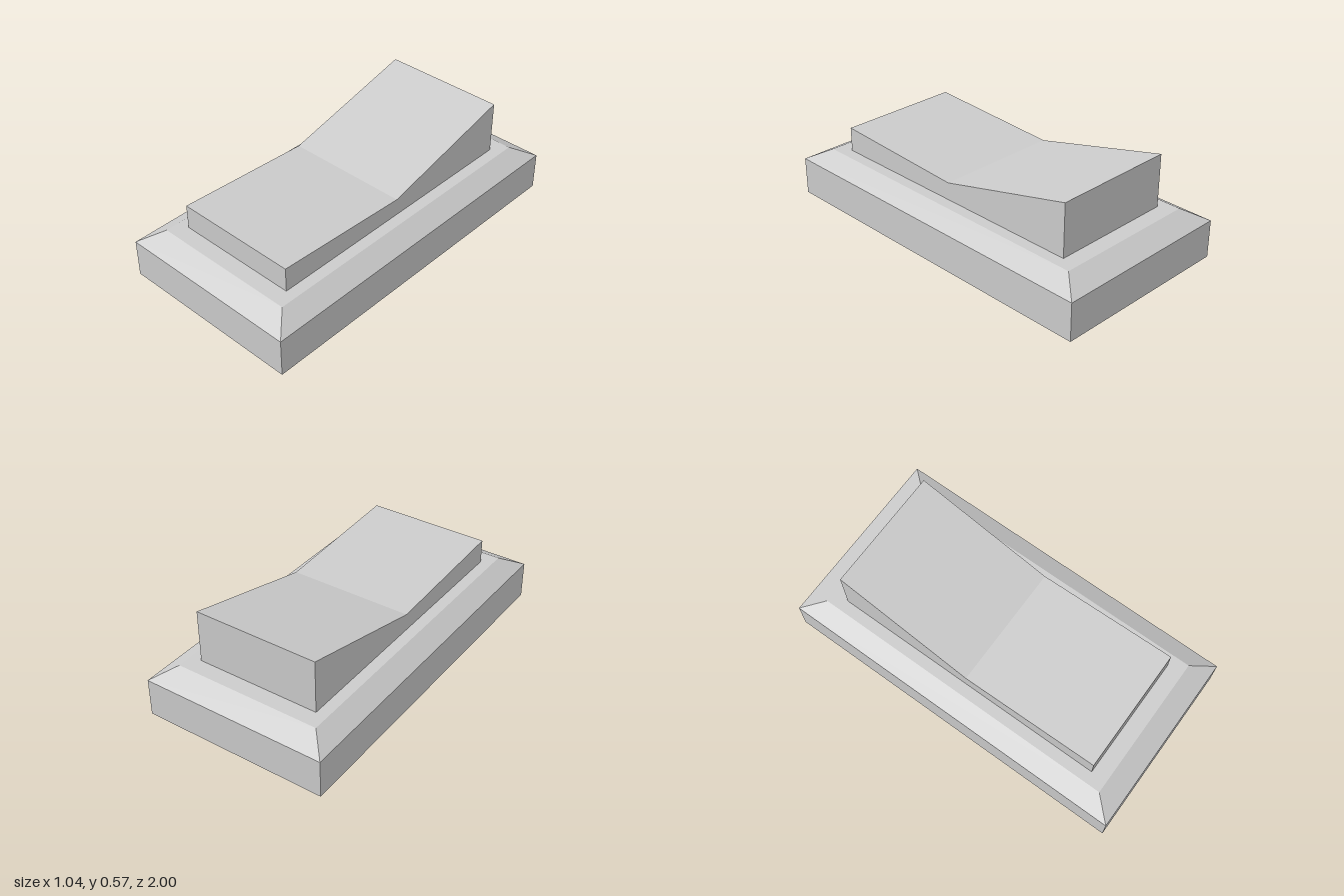
import * as THREE from 'three';

const material = new THREE.MeshStandardMaterial({ color: 0xcccccc, flatShading: true });

const WIDTH = 1.044, LENGTH = 2, WALL_TOP = 0.212, PLATE_TOP = 0.277;

// Rectangular plate whose upper edge is chamfered in to a smaller flat top
function createPlate() {
  const indexed = new THREE.BoxGeometry(WIDTH, 2, LENGTH, 1, 2, 1);
  const pos = indexed.attributes.position;
  for (let i = 0; i < pos.count; i++) {
    const level = Math.round(pos.getY(i)) + 1; // 0 bottom, 1 wall top, 2 flat top
    pos.setY(i, [0, WALL_TOP, PLATE_TOP][level]);
    if (level === 2) {
      pos.setX(i, Math.sign(pos.getX(i)) * 0.414);
      pos.setZ(i, Math.sign(pos.getZ(i)) * 0.88);
    }
  }
  const geometry = indexed.toNonIndexed();
  geometry.computeVertexNormals();
  const mesh = new THREE.Mesh(geometry, material);
  mesh.name = 'basePlate';
  return mesh;
}

// Rocker: side profile (z, y) with a shallow V top, extruded across the width
function createRocker() {
  const width = 0.7, half = 0.79;
  const profile = new THREE.Shape([
    [-half, PLATE_TOP], [half, PLATE_TOP], [half, 0.414], [0, 0.374], [-half, 0.573],
  ].map(([z, y]) => new THREE.Vector2(z, y)));
  const geometry = new THREE.ExtrudeGeometry(profile, { depth: width, bevelEnabled: false });
  geometry.translate(0, 0, -width / 2);
  geometry.rotateY(-Math.PI / 2);
  const mesh = new THREE.Mesh(geometry, material);
  mesh.name = 'rocker';
  return mesh;
}

export function createModel() {
  const group = new THREE.Group();
  group.name = 'rockerSwitch';
  group.add(createPlate(), createRocker());
  return group;
}
